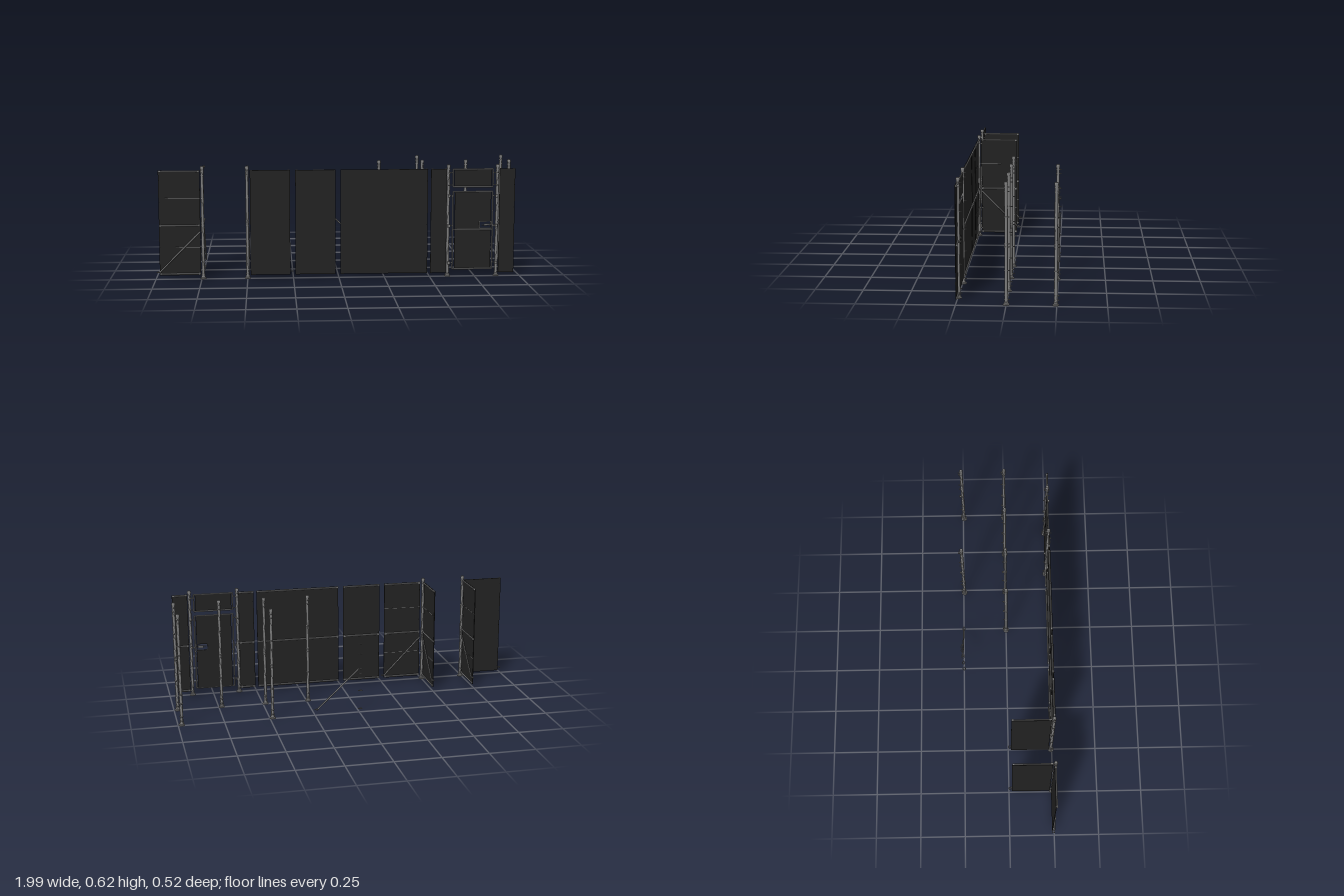
import * as THREE from 'three';

const steel = new THREE.MeshStandardMaterial({ color: 0x7a7a7a });
steel.name = 'steel';
const dark = new THREE.MeshStandardMaterial({ color: 0x222222 });
dark.name = 'darkPanel';

const V = (x, y, z) => new THREE.Vector3(x, y, z);

function add(parent, name, geo, mat, x = 0, y = 0, z = 0) {
  const m = new THREE.Mesh(geo, mat);
  m.name = name;
  m.position.set(x, y, z);
  parent.add(m);
  return m;
}

// Round bar between two points
function bar(parent, name, a, b, r) {
  const d = b.clone().sub(a);
  const m = add(parent, name, new THREE.CylinderGeometry(r, r, d.length(), 12), steel);
  m.position.copy(a).add(b).multiplyScalar(0.5);
  m.quaternion.setFromUnitVectors(V(0, 1, 0), d.normalize());
  return m;
}

function box(parent, name, w, h, d, x, y, z, mat = steel) {
  return add(parent, name, new THREE.BoxGeometry(w, h, d), mat, x, y, z);
}

// Post profile: flared foot, shaft and cap
const postProfile = [
  [0, 0], [0.017, 0], [0.017, 0.004], [0.012, 0.008], [0.011, 0.016], [0.0085, 0.017],
  [0.0085, 0.604], [0.0105, 0.604], [0.0105, 0.612], [0.008, 0.619], [0, 0.62],
].map(([x, y]) => new THREE.Vector2(x, y));

const couplers = [0.027, 0.05, 0.175, 0.295, 0.31, 0.445, 0.57, 0.592];

function post(parent, x, z, extra = []) {
  const g = new THREE.Group();
  g.name = 'post';
  g.position.set(x, 0, z);
  const shaft = new THREE.LatheGeometry(postProfile, 20).toNonIndexed();
  shaft.computeVertexNormals();
  add(g, 'postShaft', shaft, steel);
  for (const y of [...couplers, ...extra]) {
    add(g, 'couplerRing', new THREE.CylinderGeometry(0.0098, 0.0098, 0.004, 16), steel, 0, y, 0);
    box(g, 'couplerPin', 0.005, 0.004, 0.01, 0, y, -0.013);
  }
  parent.add(g);
}

// Open clamp: small ring with a lug
function clamp(parent, x, y, z) {
  const ring = add(parent, 'clampRing', new THREE.TorusGeometry(0.0075, 0.0022, 6, 16), steel, x, y, z);
  ring.rotation.x = Math.PI / 2;
  box(parent, 'clampLug', 0.008, 0.004, 0.005, x + 0.011, y, z);
}

// Panel runs along local +x, with its rails on the +z side.
// brace = [height at start, height at end]
function panel(parent, name, x, z, turn, w, brace) {
  const g = new THREE.Group();
  g.name = name;
  g.position.set(x, 0, z);
  g.rotation.y = turn;
  box(g, 'panelSheet', w, 0.576, 0.003, w / 2, 0.308, -0.005, dark);
  for (const y of [0.028, 0.295, 0.592]) {
    bar(g, 'rail', V(0, y, 0), V(w, y, 0), 0.004);
    for (const e of [0.006, w - 0.006]) box(g, 'railBracket', 0.01, 0.01, 0.01, e, y, 0);
  }
  for (const e of [0, w]) box(g, 'panelEdge', 0.002, 0.576, 0.004, e, 0.308, -0.005, dark);
  if (brace) {
    for (const y of [0.175, 0.445]) box(g, 'sheetSeam', w, 0.0015, 0.002, w / 2, y, -0.0035);
    bar(g, 'diagonalBrace', V(0, brace[0], 0.006), V(w, brace[1], 0.006), 0.0042);
    // Clamp at the low, free end
    const low = brace[0] < brace[1] ? 0 : w;
    const out = low ? 1 : -1;
    const c = new THREE.Group();
    c.name = 'braceClamp';
    clamp(c, 0, 0, 0);
    c.position.set(low + out * 0.0095, Math.min(...brace) - 0.002, 0);
    c.rotation.y = low ? Math.PI : 0;
    g.add(c);
  }
  parent.add(g);
}

// Rectangular tube frame
function frame(parent, name, x0, x1, y0, y1, z, r) {
  const g = new THREE.Group();
  g.name = name;
  for (const y of [y0, y1]) bar(g, name + 'Rail', V(x0, y, z), V(x1, y, z), r);
  for (const x of [x0, x1]) bar(g, name + 'Stile', V(x, y0, z), V(x, y1, z), r);
  parent.add(g);
}

function gate(parent) {
  const g = new THREE.Group();
  g.name = 'gate';
  const z = 0.245;
  // Transom above the door
  box(g, 'transomSheet', 0.205, 0.095, 0.003, 0.736, 0.548, z - 0.002, dark);
  frame(g, 'transomFrame', 0.626, 0.846, 0.496, 0.594, z, 0.004);

  // Door leaf with an opening for the lock
  const s = new THREE.Shape([
    [0.637, 0.04], [0.838, 0.04], [0.838, 0.47], [0.637, 0.47],
  ].map(([x, y]) => new THREE.Vector2(x, y)));
  s.holes.push(new THREE.Path([
    [0.775, 0.268], [0.775, 0.303], [0.834, 0.303], [0.834, 0.268],
  ].map(([x, y]) => new THREE.Vector2(x, y))));
  add(g, 'doorSheet', new THREE.ExtrudeGeometry(s, { depth: 0.003, bevelEnabled: false }), dark, 0, 0, z - 0.004);
  frame(g, 'doorFrame', 0.626, 0.846, 0.04, 0.47, z, 0.0042);
  bar(g, 'doorMidRail', V(0.626, 0.26, z), V(0.846, 0.26, z), 0.004);
  frame(g, 'lockSurround', 0.775, 0.838, 0.267, 0.304, z, 0.0025);
  box(g, 'lockBody', 0.03, 0.012, 0.01, 0.815, 0.286, z);
  bar(g, 'doorHandle', V(0.785, 0.286, z + 0.008), V(0.852, 0.286, z + 0.008), 0.0028);

  // Hinges and catches on the two gate posts
  for (const [x, dir] of [[0.6, 1], [0.87, -1]]) {
    for (const y of [0.076, 0.282, 0.447]) {
      box(g, 'hingeBlock', 0.014, 0.015, 0.012, x + dir * 0.004, y, z + 0.011);
      box(g, 'hingeArm', 0.024, 0.005, 0.006, x + dir * 0.014, y, z + 0.003);
    }
    for (const y of [0.507, 0.575]) {
      box(g, 'catch', 0.022, 0.005, 0.006, x + dir * 0.014, y, z);
      box(g, 'catchPin', 0.005, 0.005, 0.014, x, y, z + 0.01);
    }
  }
  parent.add(g);
}

export function createModel() {
  const model = new THREE.Group();
  model.name = 'fencePanelKit';
  const front = 0.245, back = Math.PI, side = Math.PI / 2;

  // Posts: two corners, two gate posts and six loose ones
  for (const x of [-0.742, -0.5, 0.6, 0.87]) post(model, x, front);
  for (const x of [0.24, 0.485, 0.733, 0.98]) post(model, x, 0);
  for (const x of [0.485, 0.98]) post(model, x, -front, [0.125, 0.395]);

  // Braced corner panels
  panel(model, 'leftEndPanel', -0.978, front, 0, 0.222, [0.04, 0.262]);
  panel(model, 'leftCornerPanel', -0.742, 0.23, side, 0.213, [0.28, 0.065]);
  panel(model, 'rightCornerPanel', -0.5, 0.23, side, 0.213, [0.28, 0.065]);
  panel(model, 'cornerFrontPanel', -0.268, front, back, 0.215, [0.04, 0.262]);

  // Plain panels with their rails at the back
  for (const [name, x, w] of [
    ['narrowPanel', -0.02, 0.217], ['widePanel', 0.486, 0.476],
    ['gateSidePanel', 0.59, 0.085], ['gateEndPanel', 0.966, 0.084],
  ]) panel(model, name, x, front, back, w);

  gate(model);

  // Spare brace and its loose clamps
  const spare = new THREE.Group();
  spare.name = 'spareBrace';
  bar(spare, 'braceRod', V(0.235, 0.035, -0.25), V(0.005, 0.25, -0.25), 0.0042);
  clamp(spare, 0.238, 0.033, -0.25);
  for (const y of [0.02, 0.125, 0.225, 0.252, 0.335, 0.395]) clamp(spare, -0.008, y, -0.25);
  model.add(spare);

  return model;
}
